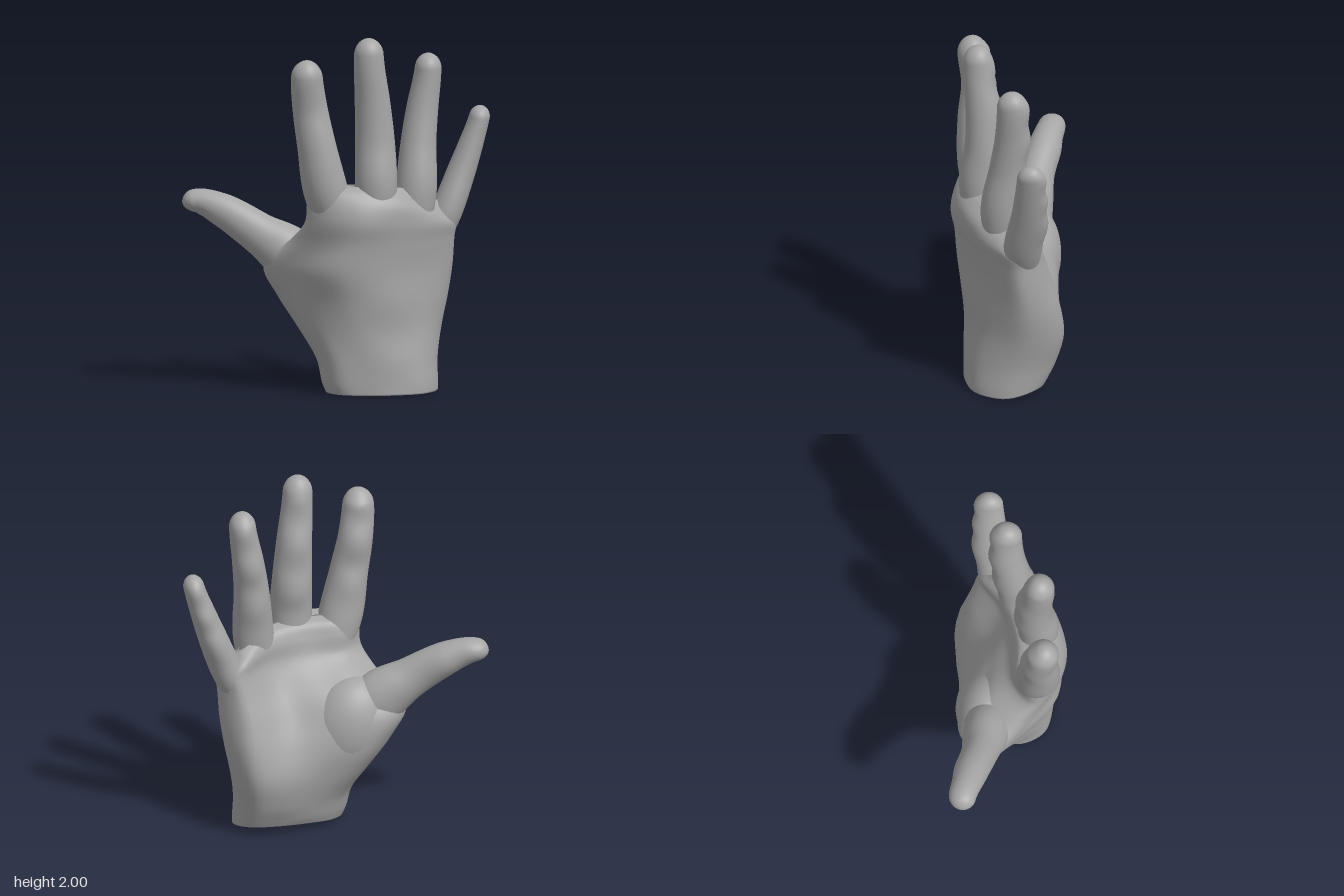
import * as THREE from 'three';

const V = (x, y, z) => new THREE.Vector3(x, y, z);
const skin = new THREE.MeshStandardMaterial({ color: 0xa6a6a6 });
skin.name = 'plain grey';

// Smooth skin over a stack of closed rings (counterclockwise about the stacking direction)
function loft(name, rings) {
  const n = rings[0].length, index = [];
  for (let i = 0; i < rings.length - 1; i++) {
    for (let j = 0; j < n; j++) {
      const k = (j + 1) % n;
      const a = i * n + j, b = i * n + k, c = a + n, d = b + n;
      index.push(a, b, d, a, d, c);
    }
  }
  const geometry = new THREE.BufferGeometry().setFromPoints(rings.flat());
  geometry.setIndex(index);
  geometry.computeVertexNormals();
  const mesh = new THREE.Mesh(geometry, skin);
  mesh.name = name;
  return mesh;
}

const centre = ring => ring.reduce((s, p) => s.add(p), V(0, 0, 0)).divideScalar(ring.length);
const shrink = (ring, k) => { const c = centre(ring); return ring.map(p => p.clone().lerp(c, 1 - k)); };

// Palm rows: height, drop on the little finger side, left and right edge,
// four depths across the back of the hand, four across the palm
const PALM_ROWS = [
  [0.00, 0.00, -0.07, 0.56, 0.20, 0.24, 0.23, 0.16, -0.10, -0.18, -0.22, -0.20],
  [0.05, 0.00, -0.09, 0.56, 0.20, 0.24, 0.23, 0.16, -0.11, -0.20, -0.24, -0.22],
  [0.18, 0.00, -0.12, 0.56, 0.19, 0.24, 0.23, 0.14, -0.14, -0.23, -0.28, -0.26],
  [0.35, 0.00, -0.22, 0.585, 0.14, 0.24, 0.22, 0.10, -0.21, -0.265, -0.31, -0.31],
  [0.52, 0.00, -0.33, 0.62, 0.09, 0.25, 0.24, 0.08, -0.25, -0.275, -0.265, -0.305],
  [0.69, 0.00, -0.41, 0.645, 0.07, 0.28, 0.25, 0.07, -0.235, -0.235, -0.18, -0.27],
  [0.85, 0.00, -0.27, 0.655, 0.19, 0.30, 0.24, 0.07, -0.11, -0.10, -0.10, -0.23],
  [0.97, 0.04, -0.19, 0.665, 0.265, 0.32, 0.24, 0.07, 0.03, -0.01, -0.06, -0.21],
  [1.07, 0.12, -0.18, 0.65, 0.265, 0.30, 0.235, 0.05, 0.045, 0.02, -0.05, -0.19],
  [1.14, 0.18, -0.16, 0.62, 0.245, 0.255, 0.185, 0.00, 0.07, 0.05, -0.01, -0.14],
  [1.17, 0.18, -0.12, 0.59, 0.20, 0.20, 0.13, -0.04, 0.13, 0.11, 0.06, -0.09]
];

function palm() {
  const across = [0.12, 0.37, 0.63, 0.88];
  const loops = PALM_ROWS.map(([y, drop, x0, x1, ...z]) => {
    const at = (f, depth) => {
      const x = x0 + (x1 - x0) * f;
      const side = THREE.MathUtils.clamp((x - 0.2) / 0.45, 0, 1);
      // the cut of the wrist rises toward the palm side
      const rise = 0.05 * Math.max(0, -depth / 0.22) * Math.max(0, 1 - y / 0.18);
      return V(x, y - drop * side * side + rise, depth);
    };
    const points = [
      at(0, (z[0] + z[4]) / 2), ...across.map((f, i) => at(f, z[i])),
      at(1, (z[3] + z[7]) / 2), ...across.map((f, i) => at(f, z[4 + i])).reverse()
    ];
    return new THREE.CatmullRomCurve3(points, true, 'centripetal');
  });
  const N = 60, STEPS = 60;
  const columns = Array.from({ length: N }, (_, j) =>
    new THREE.CatmullRomCurve3(loops.map(l => l.getPoint(j / N)), false, 'centripetal'));
  const rings = [];
  for (let i = 0; i <= STEPS; i++) rings.push(columns.map(c => c.getPoint(i / STEPS)));
  const first = rings[0], last = rings[STEPS];
  return loft('palm', [shrink(first, 0), shrink(first, 0.94), ...rings, shrink(last, 0.5), shrink(last, 0)]);
}

// Finger keys: x, y, z, half width, half depth; the last key is the rounded tip
function finger(name, keys, pads) {
  const path = new THREE.CatmullRomCurve3(keys.map(k => V(k[0], k[1], k[2])));
  const radii = new THREE.CatmullRomCurve3(keys.map(k => V(k[3], k[4], 0)));
  const end = path.getPoint(1), tip = keys[keys.length - 1][3] * 1.15;
  const N = 28, STEPS = 48, rings = [];
  for (let i = 0; i <= STEPS; i++) {
    const t = 1 - (1 - i / STEPS) ** 1.7;
    const p = path.getPoint(t), r = radii.getPoint(t);
    const along = path.getTangent(t);
    const side = along.clone().cross(V(0, 0, 1)).normalize();
    const depth = along.clone().cross(side);
    const s = Math.min(1, p.distanceTo(end) / tip);
    const round = Math.sqrt(Math.max(0, 1 - (1 - s) ** 2));
    // fleshy pads between the joints, on the palm side only
    const swell = t > 0.24 ? -pads * (Math.cos((t - 0.24) / 0.235 * Math.PI * 2) + 0.2) : -1.2 * pads;
    rings.push(Array.from({ length: N }, (_, j) => {
      const a = j / N * Math.PI * 2, sin = Math.sin(a);
      const d = r.y * sin * (1 + Math.max(0, sin) * swell);
      return p.clone().addScaledVector(side, r.x * Math.cos(a) * round).addScaledVector(depth, d * round);
    }));
  }
  return loft(name, [shrink(rings[0], 0), ...rings]);
}

// Fleshy mound in the palm
function mound(name, position, size, tilt) {
  const mesh = new THREE.Mesh(new THREE.SphereGeometry(1, 40, 28), skin);
  mesh.name = name;
  mesh.position.set(...position);
  mesh.scale.set(...size);
  mesh.rotation.z = tilt;
  return mesh;
}

export function createModel() {
  const hand = new THREE.Group();
  hand.name = 'hand';
  hand.add(
    palm(),
    mound('thumbMound', [-0.08, 0.59, -0.1], [0.23, 0.29, 0.187], 0.35),
    finger('indexFinger', [
      [0.02, 0.83, 0.11, 0.08, 0.08], [-0.078, 1.15, 0.165, 0.124, 0.125], [-0.128, 1.4, 0.185, 0.108, 0.108],
      [-0.163, 1.6, 0.178, 0.098, 0.096], [-0.183, 1.77, 0.205, 0.09, 0.09], [-0.182, 1.885, 0.22, 0.08, 0.08]
    ], 0.07),
    finger('middleFinger', [
      [0.2, 0.83, 0.11, 0.09, 0.09], [0.205, 1.17, 0.15, 0.118, 0.12], [0.2, 1.4, 0.13, 0.112, 0.108],
      [0.187, 1.62, 0.135, 0.1, 0.1], [0.167, 1.84, 0.16, 0.086, 0.088], [0.162, 2.0, 0.165, 0.078, 0.08]
    ], 0.07),
    finger('ringFinger', [
      [0.4, 0.8, 0.02, 0.09, 0.08], [0.436, 1.13, 0.02, 0.115, 0.118], [0.45, 1.38, -0.015, 0.1, 0.105],
      [0.474, 1.58, -0.04, 0.089, 0.098], [0.502, 1.76, -0.045, 0.077, 0.09], [0.51, 1.885, -0.035, 0.07, 0.08]
    ], 0.07),
    finger('littleFinger', [
      [0.49, 0.72, -0.1, 0.06, 0.07], [0.61, 0.98, -0.11, 0.088, 0.112], [0.695, 1.2, -0.145, 0.08, 0.104],
      [0.745, 1.34, -0.155, 0.07, 0.092], [0.788, 1.47, -0.16, 0.06, 0.082], [0.813, 1.57, -0.155, 0.056, 0.07]
    ], 0.06),
    finger('thumb', [
      [-0.06, 0.54, -0.08, 0.12, 0.12], [-0.25, 0.74, -0.1, 0.155, 0.135], [-0.43, 0.865, -0.125, 0.117, 0.105],
      [-0.62, 0.985, -0.17, 0.096, 0.094], [-0.76, 1.04, -0.2, 0.07, 0.078], [-0.855, 1.035, -0.205, 0.05, 0.066]
    ], 0.03)
  );
  return hand;
}
